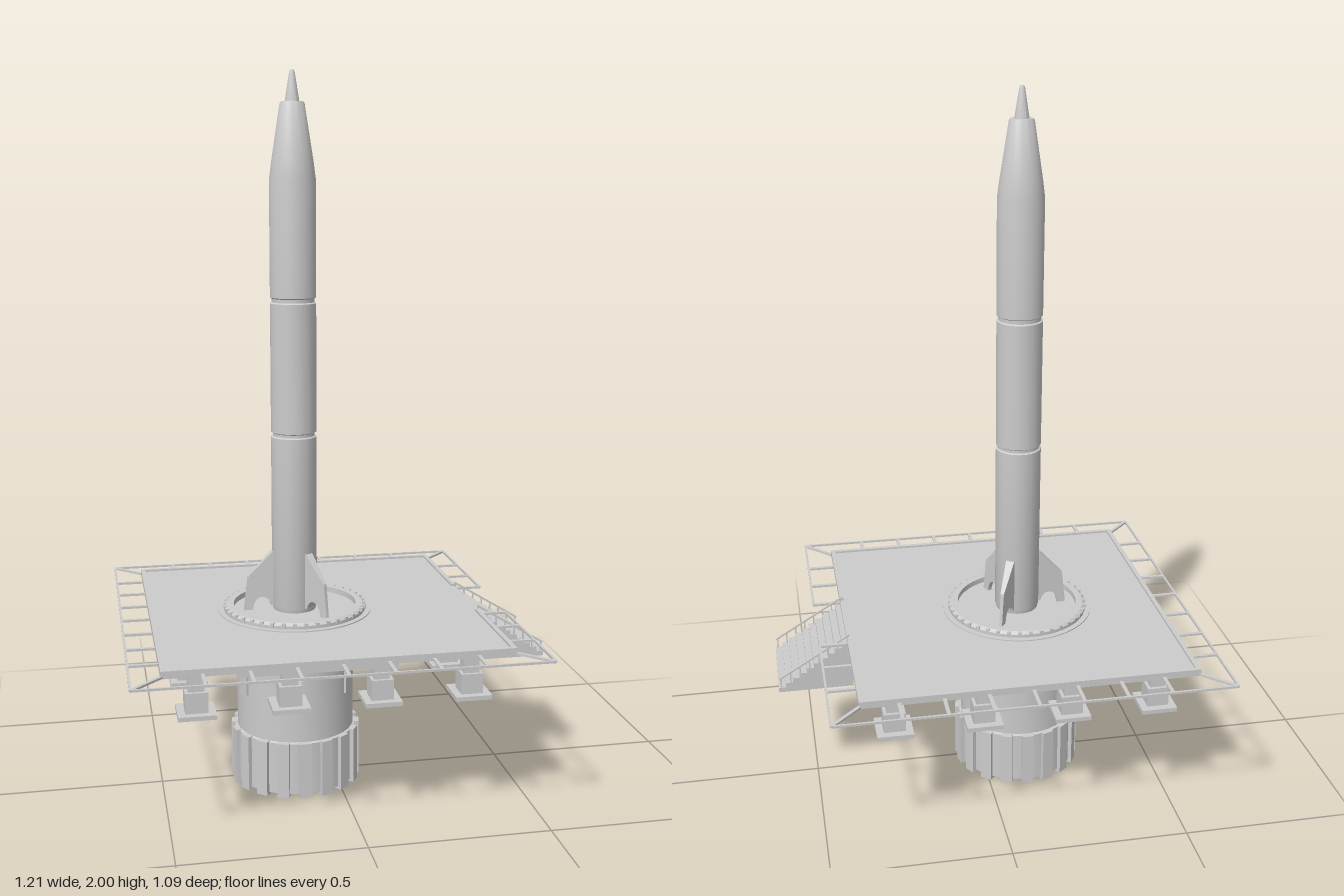
import * as THREE from 'three';
import { toCreasedNormals } from 'three/addons/utils/BufferGeometryUtils.js';

const mat = new THREE.MeshStandardMaterial({ color: 0xcccccc });
const CX = -0.11;      // rocket and silo axis
const DX = -0.06;      // deck centre

function add(parent, name, geo, x = 0, y = 0, z = 0) {
  const m = new THREE.Mesh(geo, mat);
  m.name = name;
  m.position.set(x, y, z);
  parent.add(m);
  return m;
}

// box given by its min and max corners
function block(parent, name, x0, x1, y0, y1, z0, z1) {
  return add(parent, name, new THREE.BoxGeometry(x1 - x0, y1 - y0, z1 - z0),
    (x0 + x1) / 2, (y0 + y1) / 2, (z0 + z1) / 2);
}

// bar of rectangular section between two points
function bar(parent, name, a, b, w, h) {
  const p = new THREE.Vector3(...a), q = new THREE.Vector3(...b);
  const m = add(parent, name, new THREE.BoxGeometry(w, h, p.distanceTo(q)));
  m.position.copy(p).add(q).multiplyScalar(0.5);
  m.lookAt(q);
  return m;
}

function lathe(parent, name, pts, sides) {
  const g = new THREE.LatheGeometry(pts.map(p => new THREE.Vector2(...p)), sides);
  return add(parent, name, toCreasedNormals(g, 0.5));
}

// boxes standing around the y axis
function around(parent, name, count, r, y, size, start = 0) {
  for (let i = 0; i < count; i++) {
    const a = start + i / count * Math.PI * 2;
    const m = add(parent, name, new THREE.BoxGeometry(...size), Math.sin(a) * r, y, Math.cos(a) * r);
    m.rotation.y = a;
  }
}

function makeRocket() {
  const g = new THREE.Group();
  g.name = 'rocket';
  // body with two joint grooves, tapered nose and spike
  lathe(g, 'body', [
    [0, 0.5], [0.06, 0.5], [0.064, 0.515], [0.064, 1.003], [0.059, 1.006], [0.059, 1.014], [0.064, 1.017],
    [0.064, 1.376], [0.059, 1.379], [0.059, 1.389], [0.064, 1.392], [0.064, 1.71], [0.058, 1.757],
    [0.034, 1.912], [0.031, 1.917], [0.02, 1.917], [0.008, 1.992], [0.005, 2], [0, 2]], 32);
  // fins: swept outline with an arched foot, thinning outward
  const s = new THREE.Shape();
  s.moveTo(0.05, 0.675);
  s.lineTo(0.066, 0.672);
  s.lineTo(0.135, 0.6);
  s.lineTo(0.147, 0.5);
  s.lineTo(0.122, 0.5);
  s.quadraticCurveTo(0.118, 0.54, 0.095, 0.54);
  s.quadraticCurveTo(0.075, 0.54, 0.07, 0.515);
  s.lineTo(0.05, 0.515);
  const fin = new THREE.ExtrudeGeometry(s, { depth: 1, bevelEnabled: false });
  const p = fin.attributes.position;
  for (let i = 0; i < p.count; i++) {
    const half = THREE.MathUtils.mapLinear(p.getX(i), 0.05, 0.147, 0.014, 0.004);
    p.setZ(i, (p.getZ(i) - 0.5) * 2 * half);
  }
  fin.computeVertexNormals();
  for (let i = 0; i < 3; i++) add(g, 'fin', fin).rotation.y = Math.PI + i * Math.PI * 2 / 3;
  return g;
}

function makeSilo() {
  const g = new THREE.Group();
  g.name = 'silo';
  lathe(g, 'siloBody', [[0, 0.008], [0.175, 0.008], [0.175, 0.157], [0.168, 0.16], [0.168, 0.47], [0, 0.47]], 32);
  around(g, 'siloRib', 18, 0.174, 0.08, [0.034, 0.16, 0.022]);
  around(g, 'siloPanel', 6, 0.167, 0.308, [0.034, 0.065, 0.012], THREE.MathUtils.degToRad(53));
  // launch ring on the deck
  lathe(g, 'ringBase', [[0.219, 0.49], [0.219, 0.502], [0, 0.502]], 48);
  lathe(g, 'launchRing', [[0.203, 0.5], [0.203, 0.511], [0.194, 0.518], [0.175, 0.518], [0.175, 0.5]], 48);
  around(g, 'ringClamp', 40, 0.199, 0.511, [0.01, 0.013, 0.01]);
  return g;
}

function makeDeck() {
  const g = new THREE.Group();
  g.name = 'deck';
  const [x0, x1, z1] = [-0.525, 0.405, 0.465];
  block(g, 'deckSlab', x0, x1, 0.485, 0.499, -z1, z1);
  block(g, 'underSlab', -0.325, 0.1, 0.452, 0.488, -0.405, 0.405);
  // curb, open at the stairs
  const t = 0.013;
  block(g, 'curb', x0, x0 + t, 0.495, 0.505, -z1, z1);
  for (const s of [-1, 1]) {
    const zc = s * (z1 - t / 2);
    block(g, 'curb', x0, x1, 0.495, 0.505, zc - t / 2, zc + t / 2);
    const zm = s * (z1 + 0.123) / 2, h = (z1 - 0.123) / 2;
    block(g, 'curb', x1 - t, x1, 0.495, 0.505, zm - h, zm + h);
  }
  return g;
}

function makeNetFrame() {
  const g = new THREE.Group();
  g.name = 'safetyFrame';
  const [x0, x1, z1, y] = [-0.603, 0.483, 0.543, 0.49];
  const rail = (a, b) => bar(g, 'frameRail', [a[0], y, a[1]], [b[0], y, b[1]], 0.006, 0.006);
  const strut = (a, b) => bar(g, 'frameStrut', [a[0], y, a[1]], [b[0], y, b[1]], 0.01, 0.006);
  rail([x0, -z1], [x0, z1]);
  for (const s of [-1, 1]) {
    rail([x0, s * z1], [x1, s * z1]);
    rail([x1, s * z1], [x1, s * 0.123]);
    strut([x0, s * z1], [-0.523, s * 0.463]);
    strut([x1, s * z1], [0.403, s * 0.463]);
    for (let i = -3; i <= 3; i++) strut([DX + i * 0.12, s * 0.46], [DX + i * 0.12, s * z1]);
    for (let i = 1; i <= 3; i++) strut([0.4, s * (0.004 + i * 0.1225)], [x1, s * (0.004 + i * 0.1225)]);
  }
  for (let i = -3; i <= 3; i++) strut([x0, i * 0.1235], [-0.52, i * 0.1235]);
  return g;
}

function makeSupports() {
  const g = new THREE.Group();
  g.name = 'supports';
  for (let i = 0; i < 4; i++) for (let j = 0; j < 4; j++) {
    if (i % 3 && j % 3) continue;      // perimeter only
    const f = new THREE.Group();
    f.name = 'support';
    f.position.set(-0.43 + i * 0.245, 0, -0.366 + j * 0.244);
    block(f, 'footPad', -0.05, 0.05, 0.348, 0.36, -0.05, 0.05);
    block(f, 'footBlock', -0.03, 0.03, 0.36, 0.415, -0.03, 0.03);
    block(f, 'footColumn', -0.021, 0.021, 0.415, 0.487, -0.021, 0.021);
    g.add(f);
  }
  return g;
}

function makeStairs() {
  const g = new THREE.Group();
  g.name = 'stairs';
  const n = 10, xa = 0.4, xb = 0.603, ya = 0.488, yb = 0.35;
  const s = new THREE.Shape();
  s.moveTo(xa - 0.008, yb);
  s.lineTo(xa - 0.008, ya);
  for (let i = 0; i < n; i++) {
    const x = xa + (xb - xa) * (i + 1) / n;
    s.lineTo(x, ya - (ya - yb) * i / n);
    s.lineTo(x, ya - (ya - yb) * (i + 1) / n);
  }
  add(g, 'steps', new THREE.ExtrudeGeometry(s, { depth: 0.24, bevelEnabled: false }), 0, 0, -0.12);
  // low handrails
  for (const z of [-0.117, 0.117]) {
    bar(g, 'handrail', [xa, 0.512, z], [xb - 0.003, 0.39, z], 0.004, 0.005);
    for (let i = 0; i <= 7; i++) {
      const x = xa + 0.004 + i * 0.0274;
      const top = 0.512 - (x - xa) * 0.61;
      block(g, 'railPost', x - 0.002, x + 0.002, top - 0.038, top, z - 0.002, z + 0.002);
    }
  }
  return g;
}

export function createModel() {
  const root = new THREE.Group();
  root.name = 'launchPad';
  const rocket = makeRocket(), silo = makeSilo();
  rocket.position.x = silo.position.x = CX;
  root.add(rocket, silo, makeDeck(), makeNetFrame(), makeSupports(), makeStairs());
  return root;
}
